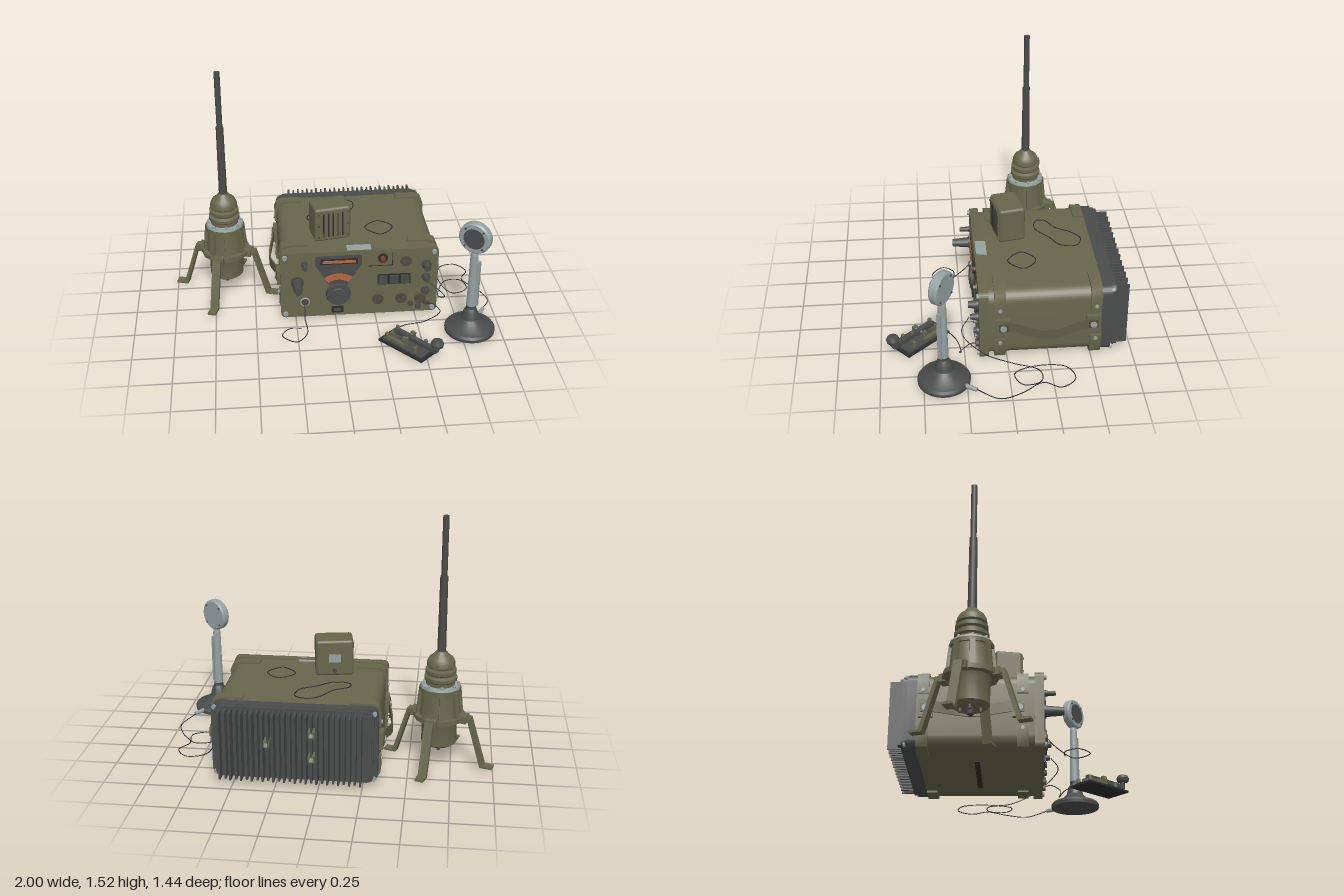
import * as THREE from 'three';
import { toCreasedNormals } from 'three/addons/utils/BufferGeometryUtils.js';
import { RoundedBoxGeometry } from 'three/addons/geometries/RoundedBoxGeometry.js';

const mat = (name, color, side = THREE.FrontSide) => {
  const m = new THREE.MeshStandardMaterial({ color, side });
  m.name = name;
  return m;
};
const V = (x, y, z) => new THREE.Vector3(x, y, z);

function add(parent, name, geo, material, x = 0, y = 0, z = 0, rx = 0, ry = 0, rz = 0) {
  const m = new THREE.Mesh(geo, material);
  m.name = name;
  m.position.set(x, y, z);
  m.rotation.set(rx, ry, rz);
  parent.add(m);
  return m;
}
function group(parent, name, x = 0, y = 0, z = 0, ry = 0) {
  const g = new THREE.Group();
  g.name = name;
  g.position.set(x, y, z);
  g.rotation.y = ry;
  parent.add(g);
  return g;
}
const box = (w, h, d) => new THREE.BoxGeometry(w, h, d);
const cyl = (r1, r2, h, n = 24) => new THREE.CylinderGeometry(r1, r2, h, n);
// cylinder pointing along +z, base at z = 0
const cylZ = (rFront, rBack, h, n = 24) => cyl(rFront, rBack, h, n).rotateX(Math.PI / 2).translate(0, 0, h / 2);
const lathe = (pts, n = 32) => toCreasedNormals(
  new THREE.LatheGeometry(pts.map(p => new THREE.Vector2(p[0], p[1])), n), 0.5);
const extrude = (shape, depth) => toCreasedNormals(
  new THREE.ExtrudeGeometry(shape, { depth, bevelEnabled: false, curveSegments: 10 }), 0.5);
const poly = pts => new THREE.Shape(pts.map(p => new THREE.Vector2(p[0], p[1])));
function roundRect(w, h, r) {
  const s = new THREE.Shape(), a = w / 2 - r, b = h / 2 - r, q = Math.PI / 2;
  s.absarc(a, b, r, 0, q);
  s.absarc(-a, b, r, q, 2 * q);
  s.absarc(-a, -b, r, 2 * q, 3 * q);
  s.absarc(a, -b, r, 3 * q, 4 * q);
  s.closePath();
  return s;
}
const cable = (pts, r, closed = false) => new THREE.TubeGeometry(
  new THREE.CatmullRomCurve3(pts.map(p => V(...p)), closed), 90, r, 5, closed);

export function createModel() {
  const root = new THREE.Group();
  root.name = 'fieldRadioSet';
  const olive = mat('olive', 0x67664b);
  const drab = mat('darkOlive', 0x4c4b37);
  const dark = mat('darkGrey', 0x4a4b4b);
  const black = mat('black', 0x2c2d2e);
  const steel = mat('steel', 0x95a1a2);
  const orange = mat('orange', 0xb4673a);
  const red = mat('red', 0x8c3f2c);
  const webbing = mat('webbing', 0x5f5e44, THREE.DoubleSide);

  // ---- Transceiver case, local origin at its centre line ----
  const radio = group(root, 'transceiver', 0.147, 0.246, 0);
  add(radio, 'caseBody', extrude(roundRect(0.965, 0.45, 0.075), 0.7), olive, 0, 0, -0.56);
  add(radio, 'frontFrame', extrude(roundRect(0.98, 0.462, 0.03), 0.055), olive, 0, 0, 0.11);
  add(radio, 'rearGasket', extrude(roundRect(0.965, 0.45, 0.05), 0.06), dark, 0, 0, -0.615);
  add(radio, 'rearPlate', extrude(roundRect(0.92, 0.44, 0.04), 0.03), dark, 0, 0, -0.64);
  add(radio, 'bottomSlot', box(0.5, 0.006, 0.03), black, 0, -0.225, -0.22);

  // corner brackets wrapping the long edges
  for (const sx of [1, -1]) for (const sy of [1, -1]) {
    const W = 0.495, H = 0.236, r = 0.05;
    const pts = [[W - 0.185, H - 0.05], [W - 0.185, H], [W - r, H], [W - r * 0.3, H - r * 0.3],
      [W, H - r], [W, H - 0.14], [W - 0.1, H - 0.14]].map(p => [p[0] * sx, p[1] * sy]);
    for (const z of [0.01, -0.555]) {
      add(radio, 'cornerBracket', extrude(poly(pts), 0.066), olive, 0, 0, z);
      add(radio, 'bracketStud', cyl(0.012, 0.012, 0.012, 10), steel, sx * 0.496, sy * 0.115, z + 0.033, 0, 0, Math.PI / 2);
    }
    add(radio, 'panelScrew', cylZ(0.014, 0.018, 0.016, 8), steel, sx * 0.462, sy * 0.203, 0.163);
    add(radio, 'rearScrew', cylZ(0.014, 0.014, 0.016, 8), steel, sx * 0.462, sy * 0.203, -0.628);
  }

  // carrying handles
  for (const sx of [1, -1]) {
    const g = box(0.008, 0.065, 0.56, 1, 1, 1), strap = new THREE.BoxGeometry(0.008, 0.065, 0.54, 1, 1, 30);
    g.dispose();
    const p = strap.attributes.position;
    for (let i = 0; i < p.count; i++) {
      const bow = 0.5 + 0.5 * Math.cos(p.getZ(i) / 0.27 * Math.PI);
      p.setX(i, p.getX(i) + sx * 0.035 * bow);
      p.setY(i, p.getY(i) - 0.045 * bow);
    }
    strap.computeVertexNormals();
    add(radio, 'carryStrap', strap, webbing, sx * 0.507, 0.01, -0.24);
    for (const z of [0.025, -0.505]) {
      add(radio, 'handleLug', box(0.026, 0.105, 0.08), olive, sx * 0.495, 0, z);
      add(radio, 'handlePad', box(0.02, 0.05, 0.055), drab, sx * 0.505, 0, z);
      add(radio, 'handleBolt', cyl(0.02, 0.02, 0.02, 12), steel, sx * 0.512, 0, z, 0, 0, Math.PI / 2);
    }
  }

  // cooling fins
  for (let i = 0; i < 27; i++) {
    const long = i % 2 === 0;
    add(radio, 'coolingFin', box(0.011, 0.415, long ? 0.085 : 0.07), dark, -0.39 + i * 0.0312, 0, long ? -0.68 : -0.672);
  }
  for (const s of [1, -1]) add(radio, 'finEndBlock', box(0.05, 0.40, 0.025), dark, s * 0.425, 0, -0.647);
  for (const [x, y] of [[-0.11, 0.09], [-0.11, -0.06], [0.15, 0.02]]) {
    add(radio, 'rearBoss', box(0.04, 0.04, 0.07), olive, x, y, -0.672);
    add(radio, 'rearBossBolt', cylZ(0.012, 0.012, 0.012, 8), steel, x, y, -0.716);
  }

  // ---- Control panel in world coordinates, z = 0 on the panel face ----
  const panel = group(root, 'controlPanel', 0, 0, 0.165);
  const cx = 0.015, cy = 0.175;
  add(panel, 'dialPlate', extrude(poly([[-0.13, 0.45], [0.16, 0.45], [0.16, 0.39], [0.1, 0.29],
    [0.07, 0.24], [-0.04, 0.24], [-0.07, 0.29], [-0.13, 0.39]]), 0.008), dark);
  add(panel, 'scaleFrame', box(0.23, 0.038, 0.006), black, 0.02, 0.412, 0.008);
  add(panel, 'scaleWindow', box(0.205, 0.018, 0.006), orange, 0.02, 0.412, 0.012);
  const arc = new THREE.Shape();
  arc.absarc(cx, cy, 0.15, 0.95, Math.PI - 0.95);
  arc.absarc(cx, cy, 0.108, Math.PI - 0.95, 0.95, true);
  add(panel, 'arcScale', extrude(arc, 0.005), orange, 0, 0, 0.007);
  add(panel, 'tuningKnob', cylZ(0.074, 0.08, 0.02, 12), dark, cx, cy);
  add(panel, 'tuningKnobCap', cylZ(0.045, 0.05, 0.008, 24), dark, cx, cy, 0.018);
  add(panel, 'nameWindow', box(0.075, 0.045, 0.01), black, 0.01, 0.06, 0.003);
  add(panel, 'windowInset', box(0.045, 0.02, 0.006), dark, 0.01, 0.06, 0.008);
  for (const x of [0.293, 0.362, 0.431]) {
    add(panel, 'buttonFrame', box(0.068, 0.072, 0.008), black, x, 0.265, 0.002);
    add(panel, 'pushButton', box(0.055, 0.058, 0.016), dark, x, 0.265, 0.006);
  }
  // seam around the access cover
  add(panel, 'coverSeam', box(0.15, 0.004, 0.004), black, 0.275, 0.365);
  add(panel, 'coverSeam', box(0.004, 0.09, 0.004), black, 0.35, 0.41);
  // knobs: x, y, radius, length
  for (const [x, y, r, l] of [[-0.24, 0.27, 0.04, 0.115], [0.562, 0.36, 0.032, 0.06],
    [0.562, 0.27, 0.027, 0.05], [0.562, 0.17, 0.027, 0.03], [-0.195, 0.4, 0.021, 0.07]]) {
    add(panel, 'knobSkirt', cylZ(r, r, 0.012), dark, x, y);
    add(panel, 'knob', cylZ(r * 0.6, r * 0.85, l, 14), dark, x, y);
  }
  for (const [x, y] of [[0.435, 0.39], [0.265, 0.12], [0.41, 0.12], [0.53, 0.11]]) {
    add(panel, 'selectorDisc', cylZ(0.034, 0.036, 0.01), drab, x, y);
    add(panel, 'selectorBar', box(0.06, 0.016, 0.024), dark, x, y, 0.012, 0, 0, 0.7);
  }
  for (const [x, y] of [[0.47, 0.08], [0.52, 0.055], [0.57, 0.08]]) add(panel, 'jack', cylZ(0.016, 0.018, 0.02, 12), dark, x, y);
  add(panel, 'lampRing', cylZ(0.03, 0.03, 0.01), black, 0.29, 0.42);
  add(panel, 'lamp', cylZ(0.014, 0.02, 0.02), red, 0.29, 0.42);
  add(panel, 'socketRing', new THREE.TorusGeometry(0.027, 0.005, 6, 20), steel, -0.193, 0.125, 0.003);
  add(panel, 'socket', cylZ(0.02, 0.022, 0.015), drab, -0.193, 0.125);
  add(root, 'topPlate', box(0.15, 0.006, 0.065), steel, 0.145, 0.474, 0.122);

  // ---- Loudspeaker on top ----
  const speaker = group(root, 'loudspeaker', -0.02, 0.59, -0.057, 0.18);
  add(speaker, 'speakerBody', new RoundedBoxGeometry(0.23, 0.225, 0.165, 3, 0.018), olive);
  add(speaker, 'speakerFace', box(0.2, 0.195, 0.008), olive, 0, 0, 0.083);
  for (let i = 0; i < 5; i++) add(speaker, 'grilleSlot', box(0.008, 0.16, 0.004), black, -0.06 + i * 0.03, 0, 0.087);
  for (const x of [-0.092, 0.092]) for (const y of [-0.08, 0, 0.08])
    add(speaker, 'speakerScrew', cylZ(0.006, 0.006, 0.006, 8), dark, x, y, 0.086);
  add(speaker, 'speakerLabel', box(0.075, 0.05, 0.005), steel, 0, 0, -0.083);
  add(speaker, 'speakerPlug', cylZ(0.012, 0.012, 0.02, 12), dark, 0, -0.075, -0.1);

  // ---- Antenna on four legs ----
  const ant = group(root, 'antenna', -0.675, 0, -0.235);
  add(ant, 'antennaFoot', lathe([[0, 0.115], [0.085, 0.115], [0.105, 0.13], [0.105, 0.26], [0.115, 0.29]], 24), olive);
  add(ant, 'lowerPlug', cyl(0.025, 0.02, 0.04, 12), dark, 0, 0.1, 0);
  for (let i = 0; i < 4; i++) add(ant, 'footStud', cyl(0.01, 0.01, 0.03, 8), dark, 0.055 * Math.cos(i * 1.57), 0.108, 0.055 * Math.sin(i * 1.57));
  add(ant, 'antennaHousing', lathe([[0.1, 0.28], [0.125, 0.29], [0.11, 0.47], [0, 0.47]], 16), olive);
  add(ant, 'legCollar', cyl(0.155, 0.155, 0.028, 12), olive, 0, 0.3, 0);
  add(ant, 'upperCollar', cyl(0.125, 0.125, 0.024, 12), olive, 0, 0.472, 0);
  add(ant, 'clampRing', cyl(0.115, 0.12, 0.016, 12), steel, 0, 0.491, 0);
  for (let i = 0; i < 8; i++) {
    const arm = group(ant, 'housingRibGroup', 0, 0, 0, i * Math.PI / 4 + 0.1);
    add(arm, 'housingRib', box(0.03, 0.17, 0.03), olive, 0.118, 0.385, 0, 0, 0, 0.1);
    add(arm, 'clampBolt', cyl(0.009, 0.009, 0.03, 8), steel, 0.105, 0.495, 0);
  }
  add(ant, 'bellows', lathe([[0.085, 0.49], [0.085, 0.52], [0.097, 0.53], [0.097, 0.55], [0.08, 0.56], [0.08, 0.565],
    [0.092, 0.575], [0.092, 0.595], [0.075, 0.602], [0.075, 0.608], [0.085, 0.616], [0.083, 0.64],
    [0.07, 0.665], [0.045, 0.685], [0.03, 0.705], [0, 0.705]]), olive);
  add(ant, 'bellowsLug', box(0.035, 0.03, 0.03), olive, 0.03, 0.63, -0.075);
  add(ant, 'lowerMast', cyl(0.023, 0.026, 0.47, 16), dark, 0, 0.925, 0);
  add(ant, 'upperMast', cyl(0.018, 0.018, 0.36, 16), dark, 0, 1.335, 0);
  const legShape = poly([[0.14, 0.315], [0.197, 0.315], [0.288, 0.022], [0.342, 0.022],
    [0.342, 0.008], [0.268, 0.008], [0.182, 0.29], [0.14, 0.29]]);
  for (let i = 0; i < 4; i++) {
    const leg = group(ant, 'antennaLeg', 0, 0, 0, -0.31 + i * Math.PI / 2);
    add(leg, 'legStrut', extrude(legShape, 0.052), olive, 0, 0, -0.026);
    add(leg, 'legHinge', box(0.04, 0.045, 0.07), olive, 0.155, 0.3, 0);
  }

  // ---- Desk microphone ----
  const mic = group(root, 'microphone', 0.808, 0, 0.382);
  add(mic, 'micBase', lathe([[0, 0.01], [0.153, 0.01], [0.155, 0.03], [0.145, 0.045], [0.09, 0.065], [0.055, 0.1],
    [0.042, 0.15], [0.03, 0.17], [0, 0.17]], 40), dark);
  add(mic, 'micPost', cyl(0.024, 0.03, 0.38, 20), steel, 0, 0.355, 0);
  add(mic, 'postCollar', cyl(0.03, 0.03, 0.02, 20), dark, 0, 0.18, 0);
  add(mic, 'postNeck', cyl(0.017, 0.024, 0.04, 16), steel, 0, 0.56, 0);
  const head = group(mic, 'micHead', 0, 0.665, 0, -0.6);
  add(head, 'talkLever', box(0.012, 0.31, 0.025), steel, 0.036, 0.35 - 0.665, 0);
  for (const y of [0.21, 0.49]) add(head, 'leverPivot', box(0.035, 0.02, 0.02), steel, 0.022, y - 0.665, 0);
  add(head, 'headShell', lathe([[0, -0.028], [0.09, -0.028], [0.1, -0.018], [0.1, 0.018], [0.09, 0.028], [0, 0.028]], 32)
    .rotateX(Math.PI / 2), steel);
  add(head, 'headGrille', cylZ(0.066, 0.066, 0.005), dark, 0, 0, 0.026);
  for (let i = 0; i < 4; i++) for (const z of [0.026, -0.032])
    add(head, 'headScrew', cylZ(0.007, 0.007, 0.006, 8), dark, 0.08 * Math.cos(i * 1.571 + 0.78), 0.08 * Math.sin(i * 1.571 + 0.78), z);
  const stub = group(mic, 'cordOutlet', 0, 0, 0, 0.98);
  add(stub, 'cordSleeve', cyl(0.012, 0.014, 0.09, 10), steel, 0.175, 0.03, 0, 0, 0, -Math.PI / 2);

  // ---- Morse key ----
  const key = group(root, 'morseKey', 0.41, 0, 0.515, -0.84);
  add(key, 'keyBase', box(0.336, 0.012, 0.172), black, 0, 0.012, 0);
  add(key, 'keyBaseTop', box(0.3, 0.012, 0.14), dark, 0, 0.022, 0);
  for (const z of [0.05, -0.05]) {
    add(key, 'keyRail', box(0.13, 0.022, 0.022), olive, -0.055, 0.034, z);
    add(key, 'bearingPost', box(0.03, 0.06, 0.02), olive, 0.0, 0.055, z * 0.8);
    for (const x of [-0.13, 0.09]) add(key, 'terminal', cyl(0.012, 0.012, 0.035, 10), olive, x, 0.045, z);
  }
  add(key, 'keyAxle', cyl(0.008, 0.008, 0.1, 8), steel, 0, 0.07, 0, Math.PI / 2);
  add(key, 'keyLever', box(0.32, 0.026, 0.03), dark, 0.055, 0.07, 0);
  add(key, 'contactBlock', box(0.04, 0.03, 0.04), olive, -0.11, 0.04, 0);
  add(key, 'contactScrew', cyl(0.01, 0.01, 0.06, 8), olive, 0.06, 0.06, 0);
  add(key, 'keyKnob', lathe([[0, 0.08], [0.012, 0.08], [0.014, 0.1], [0.036, 0.108], [0.04, 0.125], [0.032, 0.143], [0.012, 0.152], [0, 0.152]], 24), dark, 0.213, 0, 0);

  // ---- Thin cords ----
  const R = 0.003, t = 0.476, f = 0.006;
  add(root, 'lidCord', cable([[0.01, t, -0.45], [0.08, t, -0.5], [0.16, t, -0.47], [0.15, t, -0.37], [0.06, t, -0.31],
    [-0.05, t, -0.23], [-0.14, t, -0.25], [-0.14, t, -0.3], [-0.05, t, -0.36]], R, true), black);
  add(root, 'lidLoop', cable([[0.385, t, -0.12], [0.3, t, -0.03], [0.21, t, -0.12], [0.3, t, -0.2]], R, true), black);
  add(root, 'floorLoop', cable([[-0.193, 0.125, 0.18], [-0.2, 0.06, 0.24], [-0.19, f, 0.33], [-0.26, f, 0.42],
    [-0.345, f, 0.35], [-0.3, f, 0.28], [-0.22, f, 0.28]], R), black);
  add(root, 'microphoneCord', cable([[0.92, 0.03, 0.21], [0.99, f, 0.07], [0.95, f, -0.06], [0.87, f, -0.19], [0.92, f, -0.29],
    [0.85, f, -0.38], [0.74, f, -0.34], [0.72, f, -0.16], [0.78, f, -0.03], [0.88, f, -0.07], [0.86, f, -0.18],
    [0.76, f, -0.18], [0.68, f, -0.02], [0.69, 0.1, 0.15], [0.64, 0.22, 0.27], [0.562, 0.27, 0.22]], R), black);
  add(root, 'keyCord', cable([[0.31, 0.03, 0.4], [0.42, f, 0.3], [0.55, f, 0.27], [0.64, 0.08, 0.28], [0.6, 0.1, 0.22], [0.57, 0.08, 0.18]], R), black);
  return root;
}
